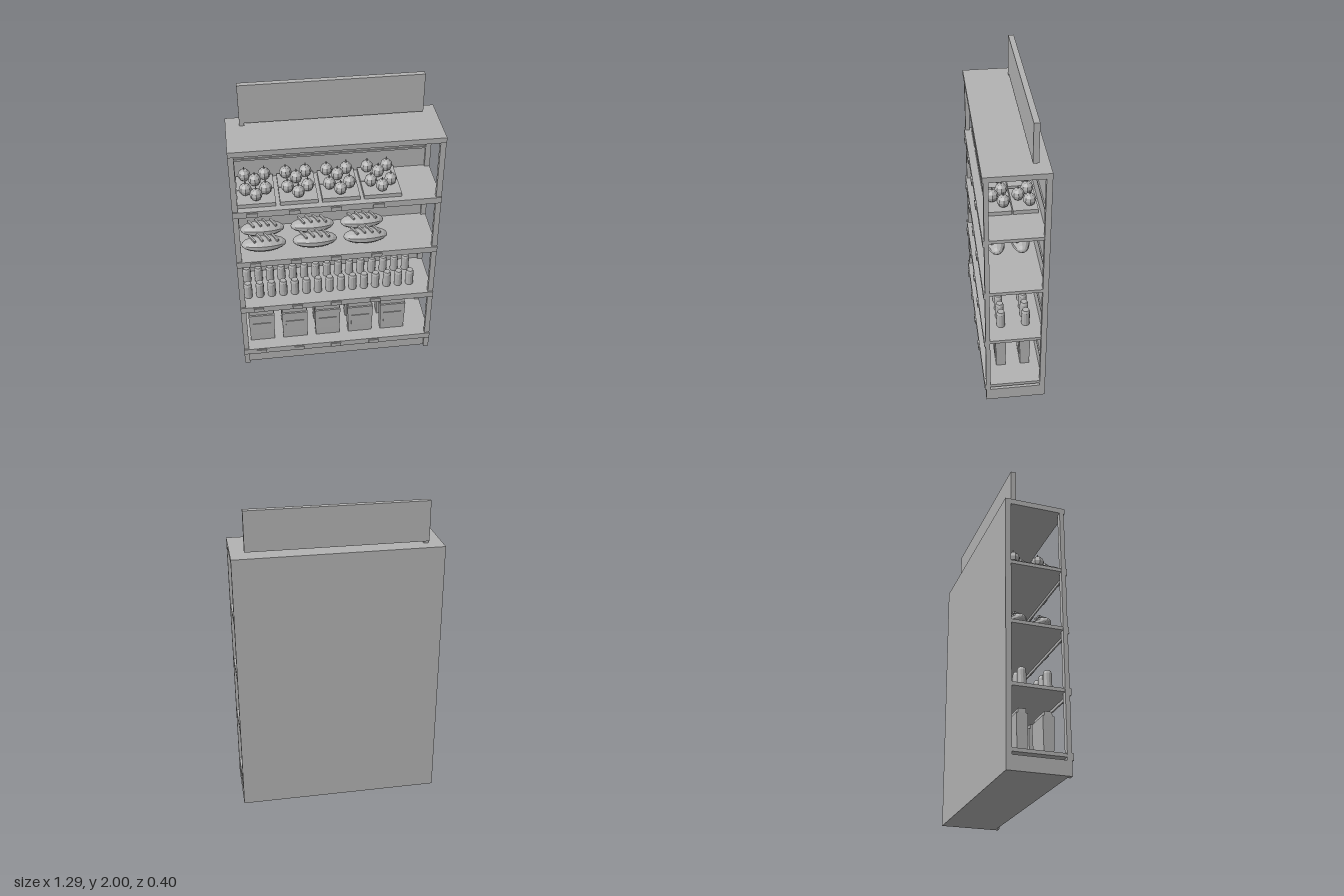
import * as THREE from 'three';

export function createModel() {
  const model = new THREE.Group();
  const grey = new THREE.MeshStandardMaterial({ color: 0xb2b2b2 });
  grey.name = 'plain grey';

  function add(parent, name, geometry, x = 0, y = 0, z = 0) {
    const mesh = new THREE.Mesh(geometry, grey);
    mesh.name = name;
    mesh.position.set(x, y, z);
    parent.add(mesh);
    return mesh;
  }
  // box given by its limits on each axis
  function block(parent, name, x0, x1, y0, y1, z0, z1) {
    return add(parent, name, new THREE.BoxGeometry(x1 - x0, y1 - y0, z1 - z0),
      (x0 + x1) / 2, (y0 + y1) / 2, (z0 + z1) / 2);
  }
  function faceted(geometry) {
    const flat = geometry.toNonIndexed();
    flat.computeVertexNormals();
    return flat;
  }
  function group(name, x, y, z) {
    const g = new THREE.Group();
    g.name = name;
    g.position.set(x, y, z);
    model.add(g);
    return g;
  }

  const W = 0.645, BACK = -0.2, FRONT = 0.183;
  const rows = [0.072, -0.085];
  const shelfTops = [0.13, 0.515, 0.905, 1.297];

  // cabinet frame
  block(model, 'base', -W, W, 0, 0.09, BACK, 0.165);
  block(model, 'topBoard', -W, W, 1.695, 1.73, BACK, 0.19);
  block(model, 'backPanel', -0.61, 0.61, 0.09, 1.695, BACK, -0.18);
  for (const s of [-1, 1]) {
    const x0 = s < 0 ? -W : 0.61, x1 = x0 + 0.035;
    block(model, 'frontPost', x0, x1, 0, 1.695, 0.155, FRONT);
    block(model, 'backPost', x0, x1, 0.09, 1.695, BACK, -0.165);
  }

  // shelves with front lips, price tags and back rails
  for (const top of shelfTops) {
    block(model, 'shelf', -0.643, 0.643, top - 0.022, top, -0.182, FRONT);
    block(model, 'shelfLip', -W, W, top - 0.04, top + 0.003, FRONT, 0.192);
    block(model, 'backRail', -0.61, 0.61, top + 0.134, top + 0.147, -0.18, -0.172);
    for (const x of [-0.525, -0.268, -0.012, 0.25])
      block(model, 'priceTag', x - 0.034, x + 0.034, top - 0.034, top - 0.006, 0.192, 0.2);
  }

  // header sign on one short foot
  block(model, 'headerSign', -0.56, 0.56, 1.747, 2, -0.135, -0.1);
  block(model, 'signFoot', -0.56, -0.53, 1.73, 1.747, -0.118, -0.1);

  // round fruit in trays, three to a tray
  const fruitGeo = faceted(new THREE.SphereGeometry(0.04, 8, 6).scale(1, 1.03, 1));
  const stemGeo = new THREE.CylinderGeometry(0.004, 0.005, 0.022, 6);
  for (let i = 0; i < 4; i++) for (const z of rows) {
    const g = group('fruitTray', -0.492 + i * 0.259, shelfTops[3], z - 0.004);
    block(g, 'tray', -0.117, 0.117, 0, 0.026, -0.076, 0.076);
    for (const [fx, fz] of [[0, 0.032], [0.063, -0.03], [-0.062, -0.03]]) {
      add(g, 'fruit', fruitGeo, fx, 0.066, fz);
      add(g, 'fruitStem', stemGeo, fx, 0.112, fz);
    }
  }

  // loaves with slanted ridges on top
  const loafGeo = faceted(new THREE.SphereGeometry(1, 10, 10)
    .rotateZ(Math.PI / 2).scale(0.143, 0.048, 0.062));
  for (let i = 0; i < 3; i++) for (const z of rows) {
    const g = group('breadLoaf', -0.463 + i * 0.328, shelfTops[2], z);
    add(g, 'loaf', loafGeo, 0, 0.052, 0);
    for (const x of [-0.072, -0.024, 0.024, 0.072]) {
      const y = 0.052 + 0.048 * Math.sqrt(1 - (x / 0.143) ** 2);
      const ridge = add(g, 'crustRidge', new THREE.BoxGeometry(0.013, 0.014, 0.08), x, y, 0);
      ridge.rotation.y = 0.45;
    }
  }

  // cans with a narrow rim at the top
  const canGeo = faceted(new THREE.LatheGeometry(
    [[0, 0], [0.026, 0], [0.027, 0.006], [0.027, 0.098], [0.021, 0.115], [0, 0.115]]
      .map(p => new THREE.Vector2(...p)), 12));
  for (let i = 0; i < 15; i++) for (const z of rows)
    add(model, 'can', canGeo, -0.585 + i * 0.0777, shelfTops[1], z);

  // paper bags that widen upwards, with a folded top and a label
  const bagGeo = new THREE.BoxGeometry(0.164, 0.225, 0.06);
  const p = bagGeo.attributes.position;
  for (let i = 0; i < p.count; i++)
    if (p.getY(i) > 0) p.setXYZ(i, p.getX(i) * 1.07, p.getY(i), p.getZ(i) * 1.17);
  bagGeo.computeVertexNormals();
  for (let i = 0; i < 5; i++) for (const z of rows) {
    const g = group('paperBag', -0.51 + i * 0.2255, shelfTops[0], z - 0.003);
    add(g, 'bagBody', bagGeo, 0, 0.1125, 0);
    block(g, 'bagFold', -0.083, 0.083, 0.225, 0.252, -0.024, 0.024);
    block(g, 'bagLabel', -0.061, 0.061, 0.07, 0.155, 0.029, 0.0385);
  }

  return model;
}
